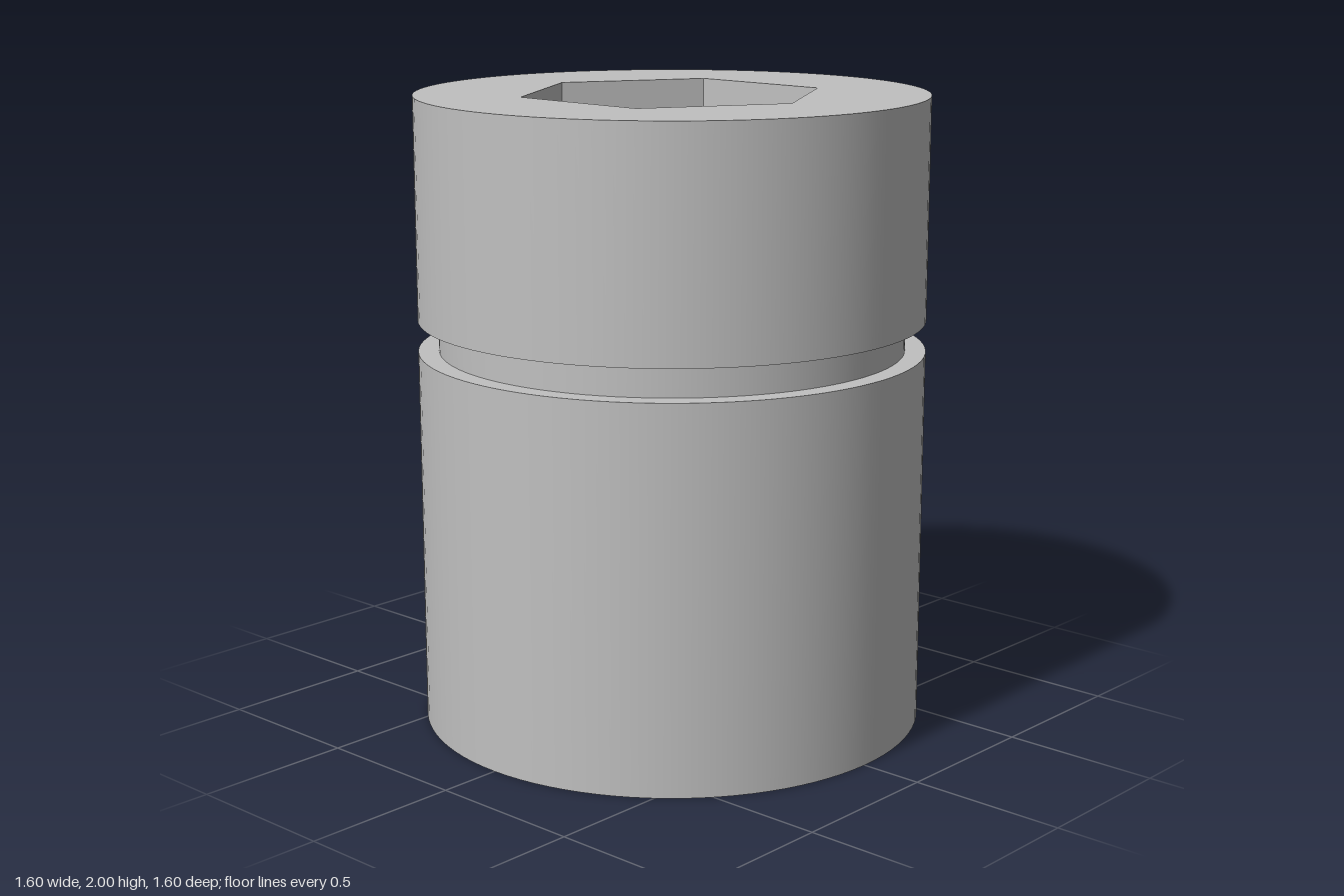
import * as THREE from 'three';
import { mergeGeometries } from 'three/addons/utils/BufferGeometryUtils.js';

const SEGMENTS = 96;
const OUTER = 0.8, HEIGHT = 2, HOLE = 0.257, HEX = 0.482, HEX_FLOOR = 1.0;

// Revolve a profile with a sharp edge at every corner (outside runs upwards)
function turned(points) {
  const bands = [];
  for (let i = 0; i < points.length - 1; i++) {
    const pair = [points[i], points[i + 1]].map(([r, y]) => new THREE.Vector2(r, y));
    bands.push(new THREE.LatheGeometry(pair, SEGMENTS));
  }
  return mergeGeometries(bands);
}

function hexagon(PathType) {
  const path = new PathType();
  for (let i = 0; i < 6; i++) {
    const a = (i * Math.PI) / 3;
    path[i ? 'lineTo' : 'moveTo'](HEX * Math.cos(a), HEX * Math.sin(a));
  }
  path.closePath();
  return path;
}

function circle(PathType, radius) {
  return new PathType().absarc(0, 0, radius, 0, Math.PI * 2, false);
}

// Upward-facing flat plate with one opening
function plate(shape, hole, y) {
  shape.holes.push(hole);
  return new THREE.ShapeGeometry(shape, SEGMENTS / 2).rotateX(-Math.PI / 2).translate(0, y, 0);
}

export function createModel() {
  const steel = new THREE.MeshStandardMaterial({ color: 0xc0c0c0 });
  steel.name = 'steel grey';
  const group = new THREE.Group();
  group.name = 'hexSocketSleeve';
  const add = (name, geometry) => {
    const mesh = new THREE.Mesh(geometry, steel);
    mesh.name = name;
    group.add(mesh);
  };

  // Outer wall with the retaining groove
  add('groovedBody', turned([
    [OUTER, 0], [OUTER, 1.2], [0.735, 1.2], [0.735, 1.3], [OUTER, 1.3], [OUTER, HEIGHT],
  ]));

  // Through hole, stepped counterbore and bottom rim
  add('steppedBore', turned([
    [HOLE, HEX_FLOOR], [HOLE, 0.46], [0.5, 0.46], [0.5, 0.2], [0.62, 0.2], [0.62, 0], [OUTER, 0],
  ]));

  // Top face around the hexagonal opening
  add('topFace', plate(circle(THREE.Shape, OUTER), hexagon(THREE.Path), HEIGHT));

  // Socket walls, mirrored so that they face inwards
  const depth = HEIGHT - HEX_FLOOR;
  const walls = new THREE.CylinderGeometry(HEX, HEX, depth, 6, 1, true, Math.PI / 6)
    .toNonIndexed()
    .scale(-1, 1, 1)
    .translate(0, HEX_FLOOR + depth / 2, 0);
  walls.computeVertexNormals();
  add('hexSocketWalls', walls);

  // Socket floor around the through hole
  add('hexSocketFloor', plate(hexagon(THREE.Shape), circle(THREE.Path, HOLE), HEX_FLOOR));

  return group;
}
